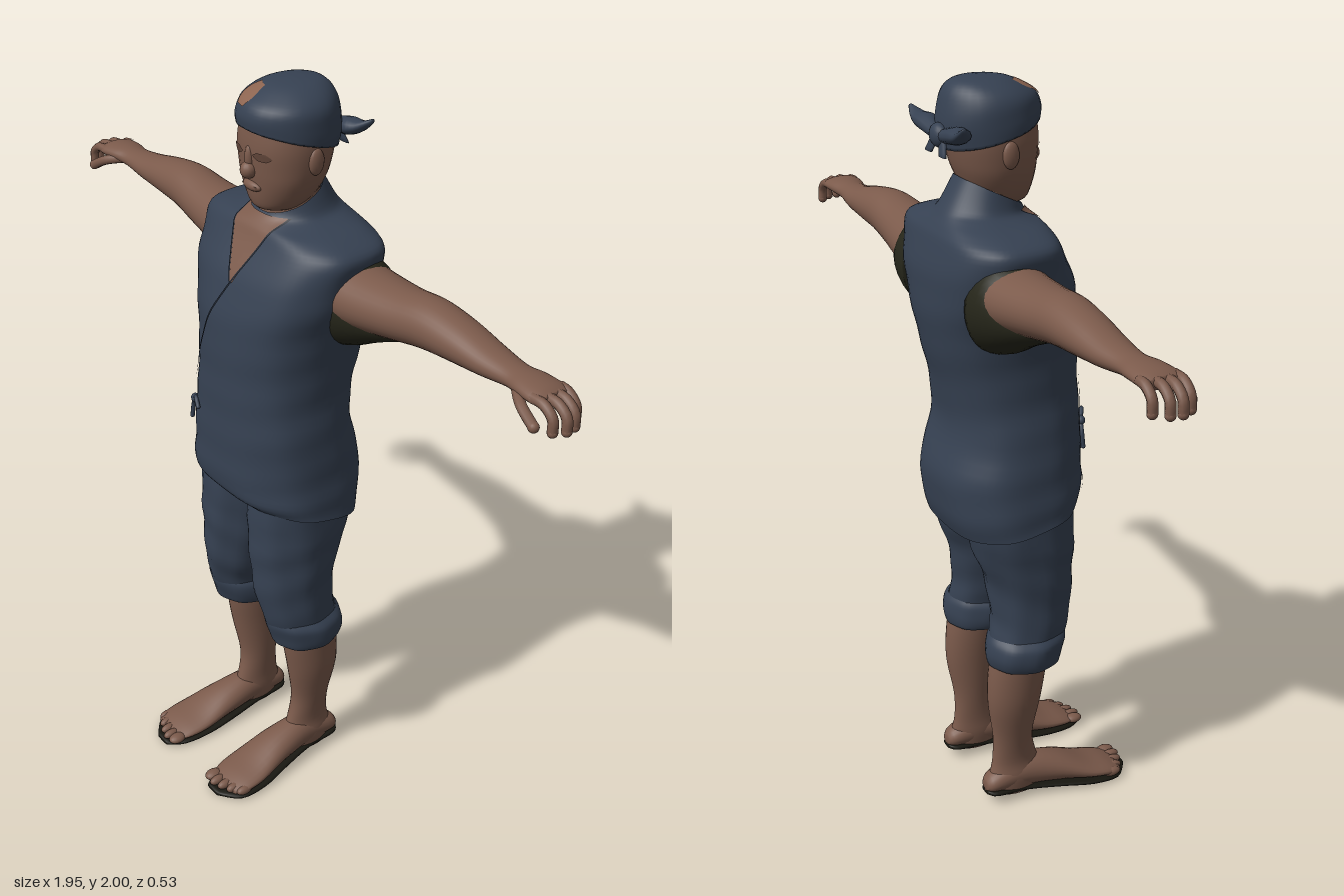
import * as THREE from 'three';

const mat = (name, color) => {
  const m = new THREE.MeshStandardMaterial({ color });
  m.name = name;
  return m;
};
const skin = mat('skin', 0x7b5a4b);
const faceShade = mat('face shade', 0x604539);
const cloth = mat('navy cloth', 0x364152);
const seamCloth = mat('dark seam', 0x1c222c);
const lining = mat('dark lining', 0x26261a);
const sole = mat('sole', 0x17160f);
const emblem = mat('cap patch', 0x8c6450);
cloth.side = THREE.DoubleSide;

// Smooth interpolation between profile rows
function smoothRows(rows, steps) {
  const out = [];
  const at = i => rows[Math.max(0, Math.min(rows.length - 1, i))];
  for (let i = 0; i < rows.length - 1; i++) {
    for (let s = 0; s < steps; s++) {
      const t = s / steps;
      out.push(at(i).map((b, k) => {
        const a = at(i - 1)[k], c = at(i + 1)[k], d = at(i + 2)[k];
        return b + 0.5 * t * (c - a + t * (2 * a - 5 * b + 4 * c - d + t * (3 * (b - c) + d - a)));
      }));
    }
  }
  out.push(at(rows.length - 1));
  return out;
}

// Loft along an axis. Row: [along, centre, high, low, radius, exponent, tilt]
// axis y: centre is x, high/low are z. axis x: centre is z, high/low are y.
// axis z: centre is y, high/low are x.
function loft(name, material, rows, { axis = 'y', side = 1, caps = true, wrinkle = 0, seg = 32 } = {}) {
  const rings = smoothRows(rows.map(r => [...r, ...[2, 0].slice(Math.max(0, r.length - 5))]), 4);
  const pos = [], idx = [];
  const put = (a, t, b) => {
    const p = axis === 'y' ? [a, t, b] : axis === 'x' ? [t, b, a] : [b, a, t];
    pos.push(p[0] * side, p[1], p[2]);
  };
  const tri = (a, b, c) => (side > 0 ? idx.push(a, b, c) : idx.push(a, c, b));
  for (const [t, c, hi, lo, r, n, tilt] of rings) {
    for (let j = 0; j < seg; j++) {
      const ang = (j / seg) * Math.PI * 2;
      const pw = v => Math.sign(v) * Math.abs(v) ** (2 / n);
      const cs = pw(Math.cos(ang)), sn = pw(Math.sin(ang));
      const w = 1 + wrinkle * Math.sin(5 * ang + 24 * t) * Math.sin(3 * ang - 31 * t);
      put(c + r * w * cs, t + tilt * (1 + sn) / 2, (hi + lo) / 2 + (hi - lo) / 2 * w * sn);
    }
  }
  for (let i = 0; i < rings.length - 1; i++) {
    for (let j = 0; j < seg; j++) {
      const a = i * seg + j, b = i * seg + (j + 1) % seg;
      tri(a, a + seg, b);
      tri(b, a + seg, b + seg);
    }
  }
  if (caps) {
    for (const i of [0, rings.length - 1]) {
      const [t, c, hi, lo, , , tilt] = rings[i], centre = pos.length / 3;
      put(c, t + tilt / 2, (hi + lo) / 2);
      for (let j = 0; j < seg; j++) {
        const a = i * seg + j, b = i * seg + (j + 1) % seg;
        if (i === 0) tri(centre, a, b); else tri(centre, b, a);
      }
    }
  }
  return finish(name, material, pos, idx);
}

function finish(name, material, pos, idx) {
  const g = new THREE.BufferGeometry();
  g.setAttribute('position', new THREE.Float32BufferAttribute(pos, 3));
  g.setIndex(idx);
  g.computeVertexNormals();
  return named(name, new THREE.Mesh(g, material));
}
const named = (name, o) => { o.name = name; return o; };

// Thin panel laid on the front of a mesh, between a left and a right edge (x, y points, top down)
function drape(name, material, target, left, right, lift = 0.004, rows = 24, cols = 8) {
  const path = pts => new THREE.CatmullRomCurve3(pts.map(([x, y]) => new THREE.Vector3(x, y, 0)));
  const L = path(left), R = path(right), ray = new THREE.Raycaster(), pos = [], idx = [];
  let z = 0;
  for (let i = 0; i <= rows; i++) {
    for (let j = 0; j <= cols; j++) {
      const p = L.getPoint(i / rows).lerp(R.getPoint(i / rows), j / cols);
      ray.set(new THREE.Vector3(p.x, p.y, 2), new THREE.Vector3(0, 0, -1));
      const hit = ray.intersectObject(target)[0];
      if (hit) z = hit.point.z;
      pos.push(p.x, p.y, z + lift);
      if (i < rows && j < cols) {
        const a = i * (cols + 1) + j, b = a + cols + 1;
        idx.push(a, b, a + 1, a + 1, b, b + 1);
      }
    }
  }
  return finish(name, material, pos, idx);
}

function ball(name, material, [x, y, z], [rx, ry, rz]) {
  const m = new THREE.Mesh(new THREE.SphereGeometry(1, 16, 12), material);
  m.position.set(x, y, z);
  m.scale.set(rx, ry, rz);
  return named(name, m);
}

// Round-ended tube for fingers and ties
function cord(name, material, pts, r) {
  const g = named(name, new THREE.Group());
  const v = pts.map(p => new THREE.Vector3(...p));
  g.add(new THREE.Mesh(new THREE.TubeGeometry(new THREE.CatmullRomCurve3(v), 12, r, 8), material));
  g.add(ball(name + 'Tip', material, pts[pts.length - 1], [r, r, r]));
  return g;
}

function makeHead() {
  const g = named('head', new THREE.Group());
  g.add(loft('neck', skin, [[1.58, 0, -0.02, -0.17, 0.09], [1.68, 0, -0.015, -0.155, 0.083], [1.78, 0, -0.02, -0.155, 0.088]]));
  const face = loft('face', skin, [
    [1.685, 0, 0.0, -0.1, 0.04], [1.695, 0, 0.018, -0.12, 0.065], [1.72, 0, 0.027, -0.14, 0.088],
    [1.76, 0, 0.033, -0.16, 0.106, 2.2], [1.8, 0, 0.038, -0.175, 0.115, 2.2],
    [1.86, 0, 0.042, -0.187, 0.118, 2.2], [1.93, 0, 0.035, -0.185, 0.108]]);
  g.add(face);
  g.add(ball('nose', skin, [0, 1.795, 0.04], [0.021, 0.022, 0.022]));
  g.add(ball('noseBridge', skin, [0, 1.825, 0.036], [0.013, 0.035, 0.014]));
  g.add(ball('lips', skin, [0, 1.753, 0.028], [0.034, 0.014, 0.016]));
  g.add(drape('mouth', faceShade, face, [[-0.03, 1.757], [-0.03, 1.752]], [[0.03, 1.757], [0.03, 1.752]], 0.009, 2));
  for (const s of [-1, 1]) {
    const x = s * 0.047;
    g.add(drape('eye', faceShade, face, [[x - 0.012, 1.848], [x - 0.027, 1.838], [x - 0.012, 1.828]],
      [[x + 0.012, 1.848], [x + 0.027, 1.838], [x + 0.012, 1.828]], 0.003, 8));
    g.add(ball('ear', skin, [s * 0.117, 1.825, -0.075], [0.012, 0.034, 0.022]));
  }
  // Tied cloth cap
  const cap = loft('cap', cloth, [
    [1.83, 0.002, 0.05, -0.2, 0.125, 2, 0.068], [1.875, 0.002, 0.052, -0.207, 0.127, 2, 0.05],
    [1.93, 0.002, 0.042, -0.203, 0.12, 2, 0.025], [1.97, 0, 0.012, -0.19, 0.098, 2, 0.005],
    [1.993, 0, -0.03, -0.165, 0.06], [2.0, 0, -0.08, -0.12, 0.015]], { wrinkle: 0.012 });
  g.add(cap);
  g.add(drape('capPatch', emblem, cap, [[-0.045, 1.99], [-0.064, 1.975], [-0.05, 1.95]],
    [[-0.012, 1.99], [-0.004, 1.97], [-0.015, 1.95]], 0.004, 10));
  g.add(ball('capKnot', cloth, [0, 1.865, -0.21], [0.035, 0.03, 0.022]));
  for (const side of [-1, 1]) {
    g.add(loft('capTie', cloth, [[0.01, -0.21, 1.88, 1.85, 0.012], [0.08, -0.2, 1.9, 1.855, 0.03],
      [0.12, -0.205, 1.9, 1.87, 0.025], [0.152, -0.215, 1.912, 1.9, 0.006]], { axis: 'x', side, seg: 12 }));
    g.add(loft('capTail', cloth, [[1.82, side * 0.04, -0.215, -0.225, 0.02], [1.87, side * 0.015, -0.2, -0.215, 0.016]], { seg: 10 }));
  }
  return g;
}

function makeVest() {
  const g = named('vest', new THREE.Group());
  const body = loft('vestBody', cloth, [
    [0.83, -0.006, 0.115, -0.222, 0.24, 2.5, 0.07], [0.9, -0.007, 0.137, -0.242, 0.235, 2.5, 0.03],
    [1.0, -0.007, 0.14, -0.245, 0.226, 2.4], [1.1, -0.004, 0.138, -0.215, 0.217, 2.4],
    [1.2, -0.002, 0.135, -0.218, 0.206, 2.4], [1.3, 0, 0.132, -0.24, 0.209, 2.4],
    [1.4, 0, 0.127, -0.26, 0.222, 2.5], [1.5, 0, 0.103, -0.265, 0.25, 2.7],
    [1.57, 0, 0.07, -0.257, 0.261, 2.8], [1.62, 0, 0.043, -0.245, 0.262, 2.8],
    [1.645, 0, 0.03, -0.232, 0.215, 2.5], [1.667, 0, 0.02, -0.218, 0.145, 2.2, -0.01],
    [1.69, 0, 0.01, -0.205, 0.108, 2, -0.022], [1.76, 0, 0.0, -0.163, 0.09, 2, -0.08]],
  { caps: false, wrinkle: 0.012, seg: 64 });
  g.add(body);
  // Open neckline and overlapping front edge
  g.add(drape('chest', skin, body, [[-0.082, 1.677], [-0.045, 1.6], [0.004, 1.515]], [[0.078, 1.677], [0.05, 1.61], [0.012, 1.515]]));
  const edge = [[0.08, 1.677], [0.052, 1.61], [0.014, 1.53], [-0.045, 1.42], [-0.1, 1.3], [-0.16, 1.14], [-0.17, 1.04], [-0.168, 0.925]];
  g.add(drape('frontSeam', seamCloth, body, edge.map(([x, y]) => [x - 0.003, y]), edge.map(([x, y]) => [x + 0.003, y]), 0.005, 60, 1));
  g.add(drape('collarEdge', seamCloth, body, [[-0.086, 1.677], [-0.049, 1.6], [0.0, 1.515]], [[-0.081, 1.677], [-0.044, 1.6], [0.005, 1.515]], 0.005, 24, 1));
  // Side tie
  g.add(ball('tieKnot', cloth, [-0.148, 1.115, 0.11], [0.014, 0.013, 0.012]));
  g.add(cord('tieLoop', cloth, [[-0.148, 1.115, 0.11], [-0.12, 1.135, 0.128], [-0.1, 1.118, 0.135]], 0.006));
  g.add(cord('tieEnd', cloth, [[-0.148, 1.115, 0.11], [-0.165, 1.09, 0.105], [-0.17, 1.05, 0.107]], 0.006));
  return g;
}

function makeArm(side) {
  const g = named(side > 0 ? 'leftArm' : 'rightArm', new THREE.Group());
  const x = { axis: 'x', side };
  g.add(loft('arm', skin, [
    [0.19, -0.125, 1.6, 1.43, 0.1], [0.27, -0.125, 1.59, 1.435, 0.096], [0.4, -0.125, 1.592, 1.458, 0.079],
    [0.5, -0.128, 1.6, 1.476, 0.069], [0.6, -0.13, 1.587, 1.485, 0.062], [0.7, -0.13, 1.565, 1.493, 0.052],
    [0.78, -0.128, 1.555, 1.503, 0.042], [0.83, -0.126, 1.556, 1.508, 0.05], [0.88, -0.124, 1.552, 1.51, 0.054],
    [0.905, -0.124, 1.542, 1.515, 0.046]], x));
  g.add(loft('armhole', lining, [
    [0.18, -0.13, 1.61, 1.35, 0.105], [0.25, -0.13, 1.6, 1.375, 0.1], [0.33, -0.127, 1.55, 1.418, 0.07],
    [0.43, -0.125, 1.52, 1.462, 0.03]], x));
  for (let i = 0; i < 4; i++) {
    const z = -0.167 + i * 0.028, reach = [-0.025, 0, 0.005, -0.01][i];
    g.add(cord('finger', skin, [[side * 0.875, 1.533, z], [side * (0.925 + reach), 1.53, z], [side * (0.952 + reach), 1.508, z],
      [side * (0.955 + reach), 1.477, z]], 0.0125));
  }
  g.add(cord('thumb', skin, [[side * 0.81, 1.525, -0.1], [side * 0.86, 1.51, -0.068], [side * 0.91, 1.482, -0.06]], 0.0135));
  return g;
}

function makeLeg(side) {
  const g = named(side > 0 ? 'leftLeg' : 'rightLeg', new THREE.Group());
  g.add(loft('trouserLeg', cloth, [
    [0.47, 0.132, 0.055, -0.145, 0.085], [0.53, 0.128, 0.075, -0.14, 0.088], [0.6, 0.117, 0.092, -0.135, 0.097],
    [0.7, 0.109, 0.098, -0.15, 0.109], [0.8, 0.107, 0.1, -0.185, 0.112, 2.2], [0.95, 0.104, 0.095, -0.205, 0.112, 2.2]],
  { side, wrinkle: 0.03, seg: 40 }));
  g.add(loft('rolledCuff', cloth, [
    [0.435, 0.133, 0.035, -0.135, 0.078], [0.44, 0.133, 0.05, -0.15, 0.091], [0.47, 0.133, 0.06, -0.157, 0.099],
    [0.505, 0.133, 0.068, -0.15, 0.1], [0.525, 0.131, 0.068, -0.14, 0.086]], { side, caps: false, wrinkle: 0.03, seg: 40 }));
  g.add(loft('cuffLining', lining, [[0.437, 0.133, 0.04, -0.14, 0.08], [0.447, 0.133, 0.04, -0.14, 0.08]], { side }));
  g.add(loft('shin', skin, [
    [0.02, 0.127, 0.0, -0.14, 0.036], [0.07, 0.126, 0.012, -0.148, 0.042], [0.12, 0.123, -0.005, -0.138, 0.037],
    [0.2, 0.126, -0.02, -0.136, 0.043], [0.31, 0.134, -0.002, -0.153, 0.057], [0.4, 0.134, 0.013, -0.152, 0.063],
    [0.48, 0.133, 0.02, -0.14, 0.065]], { side }));
  const z = { axis: 'z', side, seg: 24 };
  g.add(loft('foot', skin, [
    [-0.165, 0.052, 0.145, 0.11, 0.014], [-0.14, 0.06, 0.163, 0.092, 0.03], [-0.05, 0.072, 0.17, 0.083, 0.048],
    [0.05, 0.06, 0.188, 0.073, 0.042], [0.14, 0.038, 0.208, 0.067, 0.026], [0.2, 0.028, 0.21, 0.072, 0.018],
    [0.235, 0.022, 0.195, 0.085, 0.01]], z));
  g.add(loft('footSole', sole, [
    [-0.165, 0.035, 0.145, 0.11, 0.006, 3], [-0.14, 0.033, 0.165, 0.09, 0.008, 3], [-0.05, 0.028, 0.168, 0.085, 0.008, 3],
    [0.05, 0.02, 0.19, 0.072, 0.008, 3], [0.14, 0.012, 0.212, 0.066, 0.008, 3], [0.22, 0.008, 0.208, 0.075, 0.008, 3],
    [0.268, 0.006, 0.155, 0.105, 0.006, 3]], z));
  for (let i = 0; i < 5; i++) {
    const r = i === 0 ? 0.019 : 0.0135;
    g.add(ball('toe', skin, [side * (0.094 + i * 0.026), 0.024, [0.24, 0.243, 0.235, 0.222, 0.205][i]], [r, 0.013, 0.026]));
  }
  return g;
}

export function createModel() {
  const model = named('standingFigure', new THREE.Group());
  model.add(makeHead(), makeVest());
  for (const side of [-1, 1]) model.add(makeArm(side), makeLeg(side));
  return model;
}
